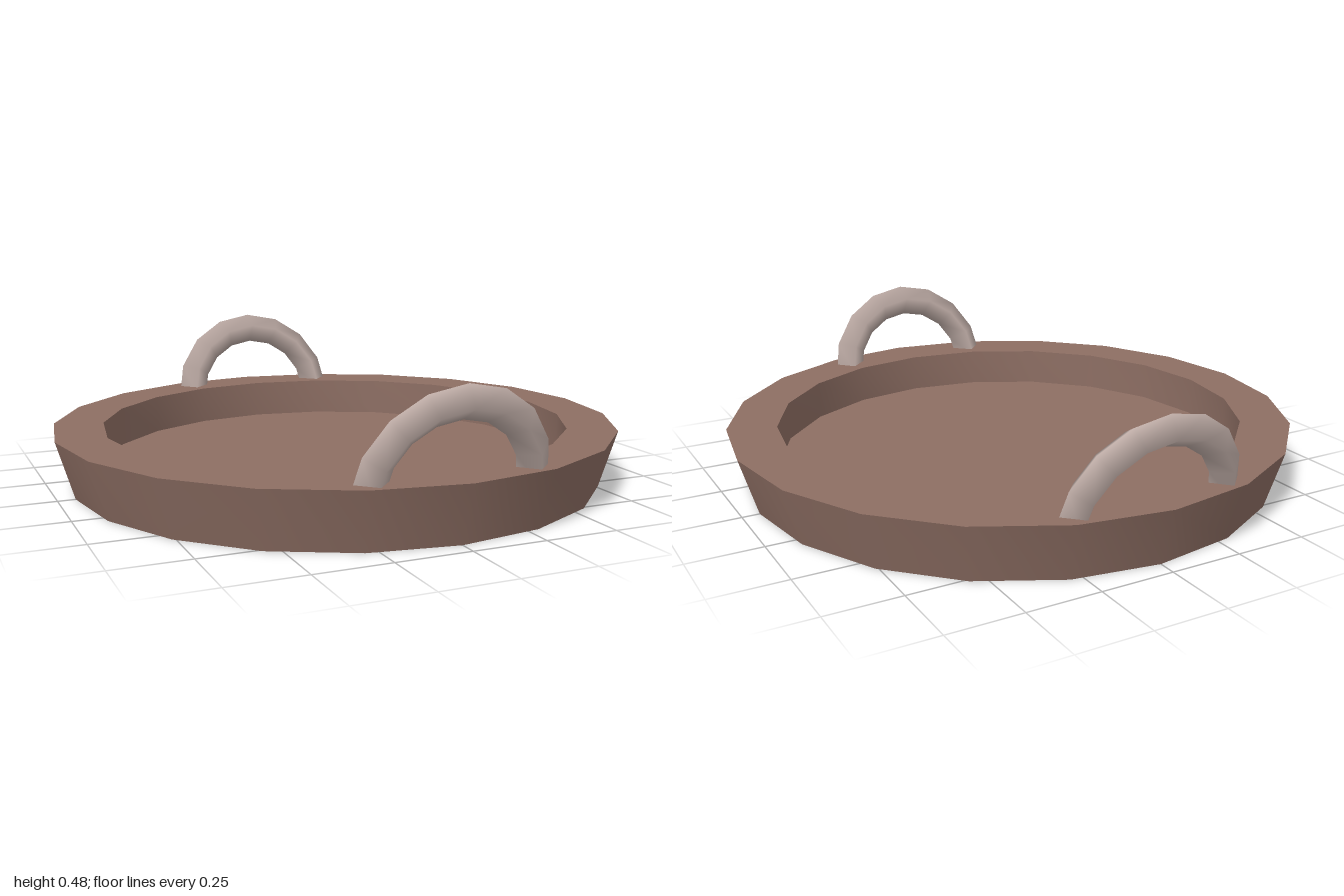
import * as THREE from 'three';
import { toCreasedNormals } from 'three/addons/utils/BufferGeometryUtils.js';

export function createModel() {
  const model = new THREE.Group();
  model.name = 'servingTray';

  const trayBrown = new THREE.MeshStandardMaterial({ color: 0x8d6e63 });
  trayBrown.name = 'trayBrown';
  const handleBeige = new THREE.MeshStandardMaterial({ color: 0xbcaaa4 });
  handleBeige.name = 'handleBeige';

  // Tray: flared outer wall, flat rim, straight inner wall and sunken floor
  const profile = [
    [0, 0], [0.94, 0], [1, 0.2], [0.826, 0.2], [0.826, 0.062], [0, 0.062],
  ].map(([r, y]) => new THREE.Vector2(r, y));
  const tray = new THREE.Mesh(
    toCreasedNormals(new THREE.LatheGeometry(profile, 20), 0.6), trayBrown);
  tray.name = 'tray';
  model.add(tray);

  // Handles: half rings set into the rim, leaning outward at front and back
  for (const [name, turn] of [['frontHandle', 0], ['backHandle', Math.PI]]) {
    const handle = new THREE.Group();
    handle.name = name;
    const ring = new THREE.Mesh(
      new THREE.TorusGeometry(0.276, 0.057, 4, 8, Math.PI), handleBeige);
    ring.name = name + 'Ring';
    ring.position.set(0, 0.159, 0.871);
    ring.rotation.x = THREE.MathUtils.degToRad(15);
    handle.add(ring);
    handle.rotation.y = turn;
    model.add(handle);
  }

  return model;
}
